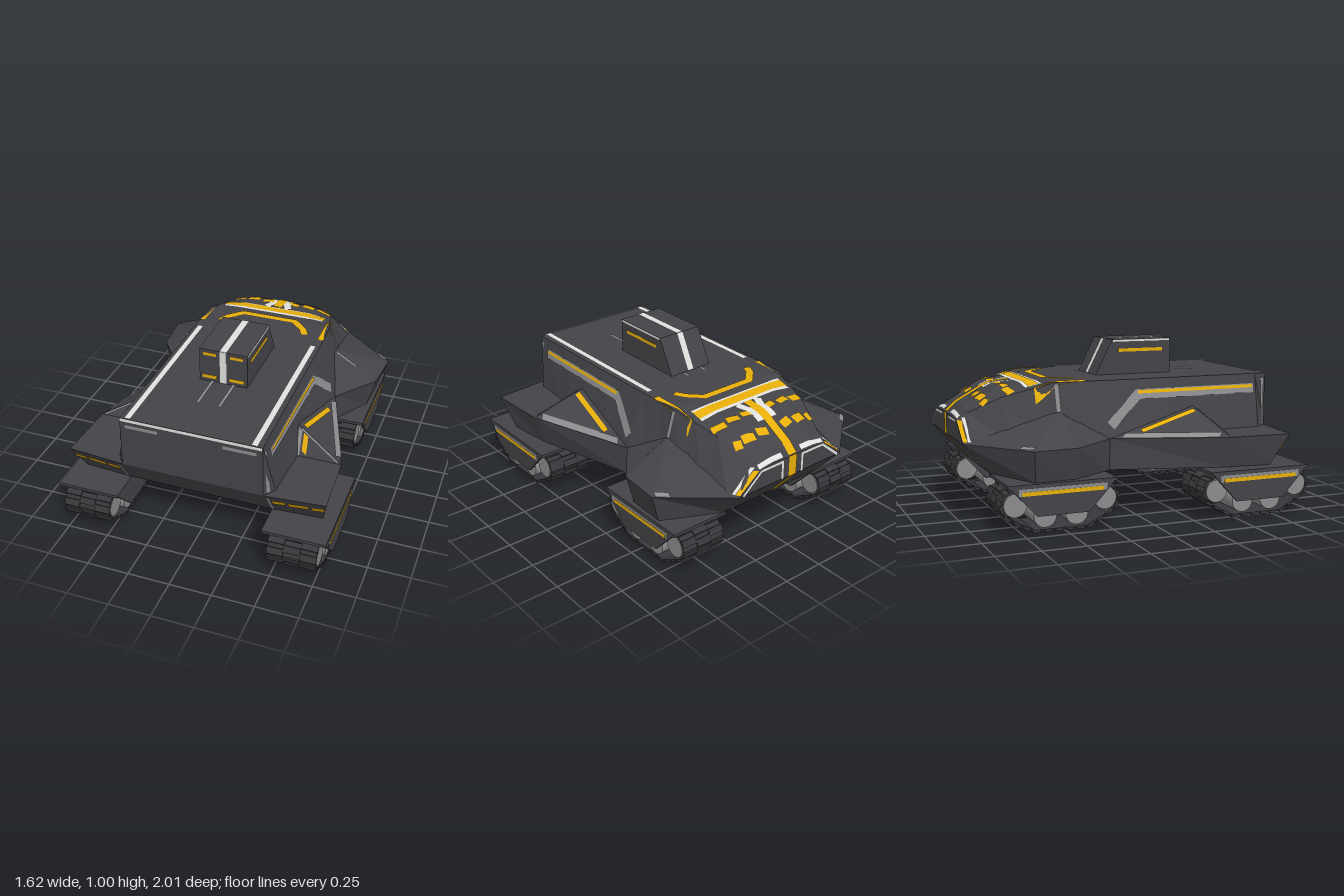
import * as THREE from 'three';
import { mergeGeometries } from 'three/addons/utils/BufferGeometryUtils.js';

const paint = (name, color) => new THREE.MeshStandardMaterial({ name, color, side: THREE.DoubleSide });

// Body cross-sections: z, half width of roof, roof height, half width at deck, drop of the roof edge
const DECK = 0.47, BASE = 0.287;
const SECTIONS = [
  [0.89, 0.418, 0.79, 0.42, 0], [0.82, 0.415, 0.79, 0.47, 0], [-0.18, 0.41, 0.79, 0.53, 0], [-0.46, 0.40, 0.79, 0.49, 0],
  [-0.75, 0.33, 0.755, 0.46, 0.04], [-0.94, 0.26, 0.65, 0.42, 0.025], [-1, 0.24, 0.595, 0.39, 0.01],
];
function section(z) {
  let i = 0;
  while (i < SECTIONS.length - 2 && z < SECTIONS[i + 1][0]) i++;
  const a = SECTIONS[i], b = SECTIONS[i + 1];
  const t = Math.min(1, Math.max(0, (a[0] - z) / (a[0] - b[0])));
  return a.map((v, k) => v + (b[k] - v) * t);
}

// Flat-faced geometry from convex polygons, each turned to face away from a centre
function facets(polys, centre = [0, 0.45, 0]) {
  const out = [], c = new THREE.Vector3(...centre);
  for (const poly of polys) {
    const p = poly.map(q => new THREE.Vector3(...q));
    for (let i = 1; i < p.length - 1; i++) {
      let tri = [p[0], p[i], p[i + 1]];
      const n = new THREE.Vector3().crossVectors(tri[1].clone().sub(tri[0]), tri[2].clone().sub(tri[0]));
      const mid = tri[0].clone().add(tri[1]).add(tri[2]).divideScalar(3).sub(c);
      if (n.dot(mid) < 0) tri = [tri[0], tri[2], tri[1]];
      tri.forEach(v => out.push(v.x, v.y, v.z));
    }
  }
  const g = new THREE.BufferGeometry();
  g.setAttribute('position', new THREE.Float32BufferAttribute(out, 3));
  g.computeVertexNormals();
  return g;
}

// Painted line: a ribbon along a 2D path, laid on a surface by map(u, v)
function stroke(path, width, map) {
  const pts = path.map(p => new THREE.Vector2(...p)), rows = [];
  const dirs = pts.slice(1).map((p, i) => p.clone().sub(pts[i]).normalize());
  const normals = pts.map((p, i) => {
    const a = dirs[Math.max(0, i - 1)], b = dirs[Math.min(i, dirs.length - 1)];
    const m = a.clone().add(b).normalize();
    return new THREE.Vector2(-m.y, m.x).multiplyScalar(width / 2 / Math.max(0.5, m.dot(a)));
  });
  for (let i = 0; i < dirs.length; i++) {
    const n = Math.ceil(pts[i].distanceTo(pts[i + 1]) / 0.03);
    for (let k = i ? 1 : 0; k <= n; k++) {
      const p = pts[i].clone().lerp(pts[i + 1], k / n), o = normals[i].clone().lerp(normals[i + 1], k / n);
      rows.push([map(p.x + o.x, p.y + o.y), map(p.x - o.x, p.y - o.y)]);
    }
  }
  return facets(rows.slice(1).map((r, i) => [rows[i][0], rows[i][1], r[1], r[0]]));
}

export function createModel() {
  const hull = paint('charcoal hull', 0x444348), rubber = paint('dark track', 0x39383c);
  const gold = paint('gold paint', 0xeeb40b), white = paint('pale paint', 0xe0e0de), grey = paint('grey paint', 0x8c8c8e);
  const root = new THREE.Group();
  const add = (name, geo, mat, parent = root) => {
    const m = new THREE.Mesh(geo, mat);
    m.name = name;
    parent.add(m);
    return m;
  };

  // Upper body, lofted from front to back
  const zs = [];
  SECTIONS.slice(1).forEach((b, i) => {
    const a = SECTIONS[i][0], n = Math.ceil((a - b[0]) / 0.2);
    for (let k = 0; k < n; k++) zs.push(a + (b[0] - a) * k / n);
  });
  zs.push(-1);
  const ring = z => {
    const [, t, h, b, d] = section(z);
    return [[-b, DECK], [-t, h - d], [-t * 0.6, h], [t * 0.6, h], [t, h - d], [b, DECK]].map(p => [...p, z]);
  };
  const body = [ring(0.89), ring(-1)];
  zs.slice(1).forEach((z, i) => {
    const a = ring(zs[i]), b = ring(z);
    for (let k = 0; k < 5; k++) body.push([a[k], a[k + 1], b[k + 1], b[k]]);
  });
  add('upperBody', facets(body), hull);

  // Lower hull with four corner sponsons and a narrow waist
  const mirror = o => [...o, ...o.map(([x, z]) => [-x, z]).reverse()];
  const top = mirror([[0.42, 0.89], [0.77, 0.86], [0.75, 0.48], [0.53, -0.18], [0.73, -0.44], [0.75, -0.7], [0.39, -1]]);
  const low = mirror([[0.42, 0.77], [0.73, 0.75], [0.7, 0.48], [0.52, -0.18], [0.68, -0.44], [0.69, -0.68], [0.36, -0.84]]);
  const cap = (o, y) => THREE.ShapeUtils.triangulateShape(o.map(p => new THREE.Vector2(...p)), [])
    .map(t => t.map(i => [o[i][0], y, o[i][1]]));
  const walls = top.map((p, i) => {
    const j = (i + 1) % top.length;
    return [[p[0], DECK, p[1]], [top[j][0], DECK, top[j][1]], [low[j][0], BASE, low[j][1]], [low[i][0], BASE, low[i][1]]];
  });
  add('lowerHull', facets([...cap(top, DECK), ...cap(low, BASE), ...walls], [0, 0.38, 0]), hull);

  // Surfaces that paint is laid on
  const roofAt = lift => (x, z) => {
    const [, t, h, b, d] = section(z), r = Math.abs(x);
    const y = h - d * Math.min(1, Math.max(0, (r / t - 0.6) / 0.4));
    return [x, y - Math.max(0, r - t) * (h - d - DECK) / (b - t) + lift, z];
  };
  const roof = roofAt(0.006), roofOver = roofAt(0.009);
  const front = (x, y) => [x, y, 0.895];
  const rear = (x, y) => [x, y, -1.005];
  const slant = y => (y - BASE) / (DECK - BASE);
  const lowerFront = (x, y) => [x, y, 0.777 + slant(y) * 0.12 - Math.max(0, Math.abs(x) - 0.42) * 0.08];
  const lowerRear = (x, y) => [x, y, -0.846 - slant(y) * 0.16];
  const side = s => (z, y) => {
    const [, t, h, b, d] = section(z);
    return [s * (t + (b - t) * (h - d - y) / (h - d - DECK) + 0.006), y, z];
  };

  // Centre markings
  add('frontRim', stroke([[-0.415, 0.782], [0.415, 0.782]], 0.018, front), white);
  add('roofBar', stroke([[-0.335, -0.57], [0.335, -0.57]], 0.06, roofOver), gold);
  add('roofBarEdge', stroke([[-0.335, -0.57], [0.335, -0.57]], 0.1, roof), white);
  add('roofArch', stroke([[-0.28, -0.31], [-0.25, -0.37], [-0.17, -0.45], [0.17, -0.45], [0.25, -0.37], [0.28, -0.31]], 0.045, roof), gold);
  add('spineStripe', stroke([[0, -0.62], [0, -1]], 0.058, roofOver), gold);
  add('spineStripeRear', stroke([[0, 0.6], [0, 0.47]], 0.058, rear), gold);
  add('spineStripeUnder', stroke([[0, 0.47], [0, 0.3]], 0.058, lowerRear), gold);

  for (const s of [1, -1]) {
    // Front wedge on the deck
    const A = [s * 0.46, 0.62, 0.38], B = [s * 0.75, DECK, 0.48], C = [s * 0.53, DECK, -0.18], D = [s * 0.47, DECK, 0.48];
    add('frontWedge', facets([[A, B, C], [A, B, D]], [s * 0.5, 0.47, 0.3]), hull);
    // Rear fender fanned out from a peak on the body side
    const P = [s * 0.44, 0.63, -0.46];
    const rim = [C, [s * 0.73, DECK, -0.44], [s * 0.75, DECK, -0.7], [s * 0.39, DECK, -1]];
    add('rearFender', facets(rim.slice(1).map((q, i) => [P, rim[i], q]), [s * 0.4, 0.4, -0.5]), hull);

    // Paint on wedge and fender, placed by weights of a triangle's corners
    const on = (a, b, c, n) => (u, v) => a.map((q, k) => q + (b[k] - q) * u + (c[k] - q) * v + n[k]);
    const slope = on(A, B, C, [s * 0.003, 0.006, 0]), nose = on(A, B, D, [0, 0.003, 0.006]);
    add('wedgeOutline', stroke([[0.06, 0.87], [0.87, 0.06]], 0.1, slope), grey);
    add('wedgeLine', stroke([[0.12, 0.04], [0.12, 0.68]], 0.09, slope), gold);
    add('wedgeNoseEdge', stroke([[0.1, 0.03], [0.92, 0.03]], 0.06, nose), grey);
    add('wedgeNoseSide', stroke([[0.07, 0.08], [0.07, 0.9]], 0.08, nose), grey);
    add('wedgeNoseMark', stroke([[0.2, 0.1], [0.2, 0.68]], 0.1, nose), gold);
    const fender = on(P, rim[0], rim[1], [s * 0.004, 0.006, 0.002]), flank = on(P, rim[2], rim[3], [s * 0.004, 0.006, -0.002]);
    add('fenderLine', stroke([[0.02, 0.05], [0.02, 0.5]], 0.04, fender), grey);
    add('fenderCorner', stroke([[0.93, 0.02], [0.76, 0.2]], 0.05, flank), grey);

    // Body side paint
    const flat = side(s), proud = (z, y) => { const p = flat(z, y); p[0] += s * 0.004; return p; };
    add('sideBand', stroke([[0.8, 0.705], [0.03, 0.705], [-0.165, 0.54]], 0.055, flat), grey);
    add('sideLine', stroke([[0.79, 0.718], [0.03, 0.718]], 0.018, proud), gold);
    add('frontPillar', stroke([[0.865, 0.48], [0.865, 0.76]], 0.02, flat), grey);
    add('rearPillar', stroke([[-0.46, 0.63], [-0.46, 0.78]], 0.02, flat), grey);
    add('tailEdge', stroke([[-0.987, 0.48], [-0.987, 0.585]], 0.022, flat), gold);
    add('tailEdgePale', stroke([[-0.965, 0.48], [-0.965, 0.6]], 0.016, flat), white);

    // Roof paint
    add('roofStripe', stroke([[s * 0.37, 0.888], [s * 0.37, -0.2]], 0.036, roof), white);
    add('roofEdge', stroke([[s * 0.39, -0.28], [s * 0.388, -0.58]], 0.035, roof), gold);
    add('roofTick', stroke([[s * 0.065, 0.375], [s * 0.065, 0.61]], 0.018, roof), grey);
    add('roofTickRear', stroke([[s * 0.065, -0.13], [s * 0.065, -0.18]], 0.018, roof), grey);
    add('spineFlare', stroke([[s * 0.045, -0.79], [s * 0.045, -0.69], [s * 0.075, -0.62]], 0.05, roof), white);
    add('rearRim', stroke([[s * 0.07, -0.985], [s * 0.245, -0.985]], 0.022, roof), white);
    for (const [z, spans] of [[-0.845, [[0.055, 0.125], [0.15, 0.23], [0.245, 0.29]]], [-0.71, [[0.05, 0.125], [0.148, 0.228], [0.245, 0.335]]]])
      for (const [a, b] of spans) add('roofDash', stroke([[s * a, z - 0.008], [s * b, z + 0.008]], 0.045, roof), gold);

    // End paint
    add('frontDash', stroke([[s * 0.19, 0.742], [s * 0.385, 0.742]], 0.02, front), grey);
    add('lowerFrontPost', stroke([[s * 0.445, 0.295], [s * 0.445, 0.465]], 0.022, lowerFront), grey);
    for (const [a, b] of [[0.46, 0.535], [0.55, 0.665], [0.68, 0.753]])
      add('lowerFrontDash', stroke([[s * a, 0.403], [s * b, 0.412]], 0.046, lowerFront), gold);
    add('rearPanelOutline', stroke([[s * 0.075, 0.47], [s * 0.075, 0.58], [s * 0.235, 0.58], [s * 0.365, 0.47]], 0.018, rear), white);
    add('rearPanelUnder', stroke([[s * 0.075, 0.47], [s * 0.075, 0.345], [s * 0.355, 0.345], [s * 0.365, 0.47]], 0.018, lowerRear), white);
  }

  // Turret with sloped back
  const turret = new THREE.Group();
  turret.name = 'turret';
  root.add(turret);
  const prof = [[0.375, 0.785], [0.375, 1], [-0.01, 1], [-0.12, 0.785]];
  const face = x => prof.map(([z, y]) => [x, y, z]);
  add('turretShell', facets([face(0.146), face(-0.146), ...prof.slice(1).map((p, i) =>
    [[-0.146, prof[i][1], prof[i][0]], [0.146, prof[i][1], prof[i][0]], [0.146, p[1], p[0]], [-0.146, p[1], p[0]]])], [0, 0.88, 0.15]), hull, turret);
  const bar = (name, mat, w, h, d, x, y, z) => add(name, new THREE.BoxGeometry(w, h, d).translate(x, y, z), mat, turret);
  bar('turretFrontStripe', white, 0.04, 0.208, 0.004, 0, 0.896, 0.376);
  bar('turretTopStripe', white, 0.04, 0.004, 0.384, 0, 1, 0.183);
  add('turretBackStripe', stroke([[0, 1], [0, 0.795]], 0.04, (x, y) => [x, y, -0.015 - (1 - y) * 0.512]), white, turret);
  for (const s of [1, -1]) {
    bar('turretSideLine', gold, 0.004, 0.02, 0.29, s * 0.146, 0.935, 0.175);
    bar('turretRim', white, 0.004, 0.012, 0.375, s * 0.145, 0.993, 0.182);
    bar('turretUpperMark', gold, 0.078, 0.018, 0.004, s * 0.082, 0.972, 0.376);
    bar('turretLowerMark', gold, 0.088, 0.02, 0.004, s * 0.084, 0.822, 0.376);
  }

  // Track unit: belt, staggered pads, wheels, cover and skirts
  const half = [[0.16, 0.01], [0.325, 0.105], [0.345, 0.165], [0.32, 0.225], [0.25, 0.258]];
  const loop = [...half, ...half.map(([z, y]) => [-z, y]).reverse()];
  const extrude = (shape, w) => new THREE.ExtrudeGeometry(shape, { depth: w, bevelEnabled: false })
    .translate(0, 0, -w / 2).rotateY(-Math.PI / 2);
  const V = p => new THREE.Vector2(...p);
  const beltShape = new THREE.Shape(loop.map(V));
  beltShape.holes.push(new THREE.Path(loop.map(([z, y]) => V([z * 0.975, 0.135 + (y - 0.135) * 0.93])).reverse()));
  const belt = extrude(beltShape, 0.28);
  const pads = [];
  loop.forEach((p, i) => {
    const a = V(p), b = V(loop[(i + 1) % loop.length]), d = b.clone().sub(a);
    const n = Math.max(1, Math.round(d.length() / 0.06)), pitch = d.length() / n;
    for (let k = 0; k < n; k++) for (let c = -1; c <= 1; c++) {
      const q = a.clone().lerp(b, (k + (c ? 0.3 : 0.7)) / n);
      pads.push(new THREE.BoxGeometry(0.095, 0.016, pitch * 0.62).rotateX(-Math.atan2(d.y, d.x)).translate(c * 0.0955, q.y, q.x));
    }
  });
  const padGeo = mergeGeometries(pads);
  const skirt = extrude(new THREE.Shape([[-0.15, 0.105], [0.15, 0.105], [0.285, 0.25], [0.315, 0.285], [-0.315, 0.285], [-0.285, 0.25]].map(V)), 0.018);
  const wheel = new THREE.CylinderGeometry(0.066, 0.066, 0.284, 24).rotateZ(Math.PI / 2);

  for (const [end, cx, cz] of [['front', 0.62, 0.647], ['rear', 0.524, -0.525]]) for (const s of [1, -1]) {
    const unit = new THREE.Group();
    unit.name = end + (s > 0 ? 'LeftTrack' : 'RightTrack');
    unit.position.set(s * cx, 0, cz);
    root.add(unit);
    add('belt', belt, rubber, unit);
    add('treadPads', padGeo, rubber, unit);
    for (const [z, y] of [[-0.262, 0.165], [-0.092, 0.095], [0.092, 0.095], [0.262, 0.165]])
      add('wheel', wheel, grey, unit).position.set(0, y, z);
    add('cover', new THREE.BoxGeometry(0.37, 0.018, 0.63), hull, unit).position.y = 0.276;
    for (const t of [1, -1]) add('skirt', skirt, hull, unit).position.x = t * 0.176;
    add('skirtBand', new THREE.BoxGeometry(0.004, 0.04, 0.51), grey, unit).position.set(s * 0.1845, 0.243, 0);
    add('skirtLine', new THREE.BoxGeometry(0.004, 0.022, 0.47), gold, unit).position.set(s * 0.186, 0.234, 0);
  }
  return root;
}
